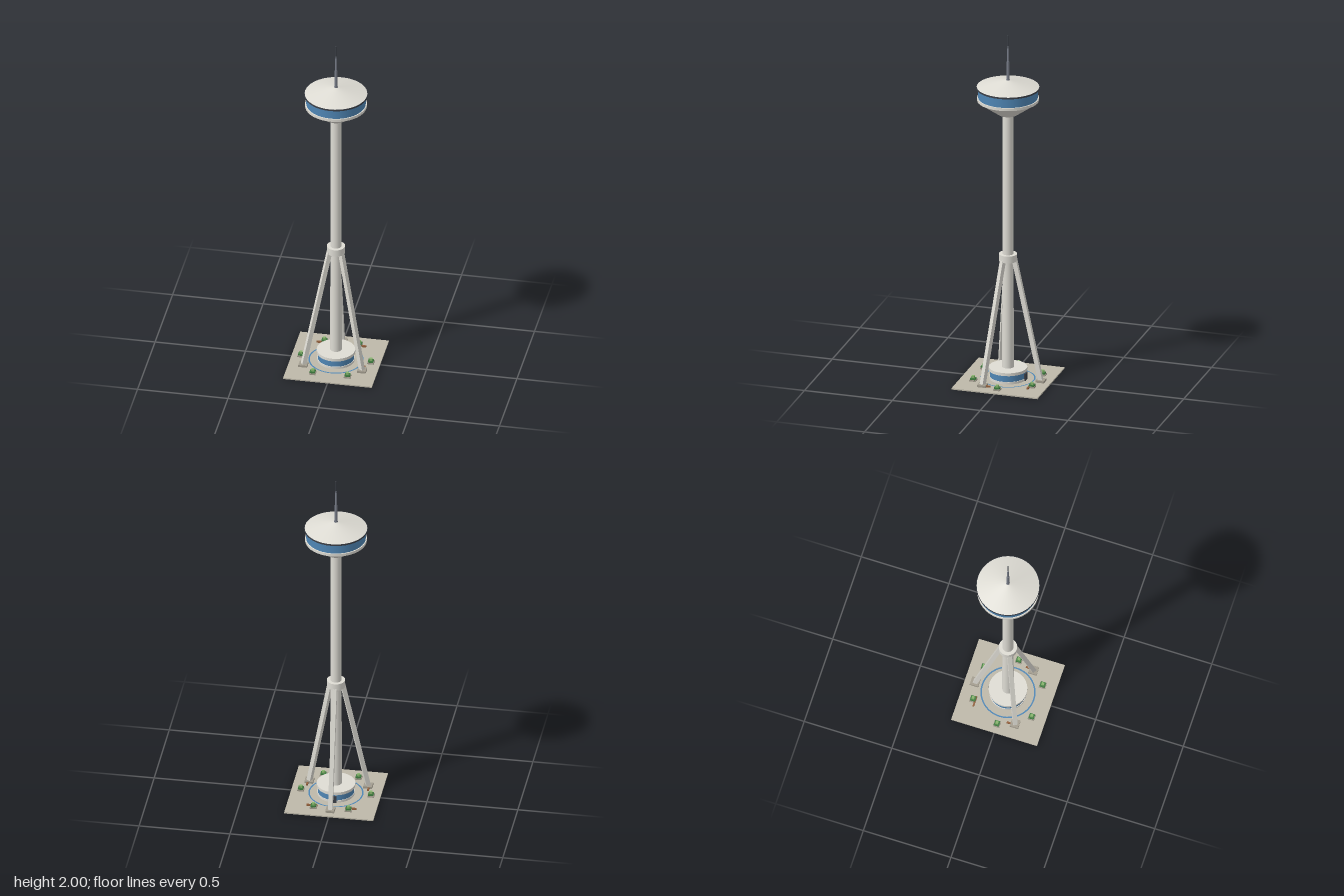
import * as THREE from 'three';

const mat = (color) => new THREE.MeshStandardMaterial({ color });
const concrete = mat(0xdedcd4);
const paving = mat(0xbdb8a9);
const stone = mat(0xa39d8f);
const glass = mat(0x4f86b5);
const dark = mat(0x3c4048);
const steel = mat(0x777c88);
const hedge = mat(0x3f7d3f);
const leaf = mat(0x86b56c);
const wood = mat(0x94603c);

function add(parent, name, geometry, material, x = 0, y = 0, z = 0) {
  const mesh = new THREE.Mesh(geometry, material);
  mesh.name = name;
  mesh.position.set(x, y, z);
  parent.add(mesh);
  return mesh;
}

// Upright drum or cone between two heights
const drum = (parent, name, material, y0, y1, r0, r1 = r0, sides = 32) =>
  add(parent, name, new THREE.CylinderGeometry(r1, r0, y1 - y0, sides), material, 0, (y0 + y1) / 2, 0);

// Box standing on height y0
const block = (parent, name, material, w, h, d, x, y0, z) =>
  add(parent, name, new THREE.BoxGeometry(w, h, d), material, x, y0 + h / 2, z);

export function createModel() {
  const tower = new THREE.Group();
  tower.name = 'observationTower';
  const ground = 0.007;

  // Plaza with an inlaid ring
  block(tower, 'plaza', paving, 0.49, ground, 0.49, 0, 0, 0);
  const inlay = add(tower, 'plazaRing', new THREE.RingGeometry(0.142, 0.15, 48), glass, 0, ground + 0.001, 0);
  inlay.rotation.x = -Math.PI / 2;

  // Entrance lobby
  drum(tower, 'lobbyBase', concrete, ground, 0.02, 0.102);
  drum(tower, 'lobbyGlass', glass, 0.02, 0.056, 0.099);
  drum(tower, 'lobbyRoof', concrete, 0.056, 0.073, 0.105);
  block(tower, 'lobbyDoor', dark, 0.04, 0.04, 0.015, 0, ground, -0.098);

  // Shaft and collar
  drum(tower, 'shaft', concrete, 0.07, 1.56, 0.032, 0.029);
  drum(tower, 'collar', concrete, 0.69, 0.73, 0.05);

  // Three leaning legs, each on a square footing
  for (let i = 0; i < 3; i++) {
    const angle = Math.PI + (i * Math.PI * 2) / 3;
    const dir = new THREE.Vector3(Math.sin(angle), 0, Math.cos(angle));
    const foot = dir.clone().multiplyScalar(0.187).setY(0.012);
    const head = dir.clone().multiplyScalar(0.035).setY(0.71);
    block(tower, 'legFooting', stone, 0.048, 0.012, 0.048, foot.x, ground, foot.z);
    const leg = new THREE.Group();
    leg.name = 'leg';
    leg.rotation.y = angle;
    tower.add(leg);
    const beam = add(leg, 'legBeam', new THREE.BoxGeometry(0.024, foot.distanceTo(head), 0.024), concrete,
      0, (foot.y + head.y) / 2, 0.111);
    beam.rotation.x = -Math.atan2(0.152, head.y - foot.y);
  }

  // Six planters around the plaza
  for (let i = 0; i < 6; i++) {
    const a = (i * Math.PI) / 3;
    const planter = new THREE.Group();
    planter.name = 'planter';
    planter.position.set(0.193 * Math.cos(a), ground, 0.193 * Math.sin(a));
    tower.add(planter);
    block(planter, 'planterBox', stone, 0.036, 0.008, 0.036, 0, 0, 0);
    block(planter, 'hedge', hedge, 0.029, 0.009, 0.029, 0, 0.008, 0);
    block(planter, 'shrub', leaf, 0.015, 0.012, 0.015, 0, 0.017, 0);
  }

  // Wooden benches, mirrored left and right
  for (const side of [-1, 1]) {
    block(tower, 'rearBench', wood, 0.06, 0.009, 0.009, side * 0.107, ground, -0.154);
    block(tower, 'sideBench', wood, 0.009, 0.009, 0.05, side * 0.168, ground, 0.073);
  }

  // Observation pod
  drum(tower, 'podUnderside', concrete, 1.54, 1.62, 0.052, 0.165, 40);
  drum(tower, 'podSill', concrete, 1.62, 1.636, 0.168, 0.168, 40);
  drum(tower, 'podGlass', glass, 1.636, 1.69, 0.162, 0.162, 40);
  drum(tower, 'podRim', dark, 1.69, 1.699, 0.172, 0.172, 40);
  drum(tower, 'podRoof', concrete, 1.699, 1.738, 0.17, 0.012, 40);

  // Stepped antenna mast
  drum(tower, 'mastBase', steel, 1.73, 1.845, 0.01, 0.007, 12);
  drum(tower, 'mastMiddle', steel, 1.845, 1.935, 0.005, 0.004, 12);
  drum(tower, 'mastTip', dark, 1.935, 1.995, 0.0025, 0.002, 8);
  add(tower, 'beacon', new THREE.SphereGeometry(0.004, 12, 8), dark, 0, 1.996, 0);

  return tower;
}
